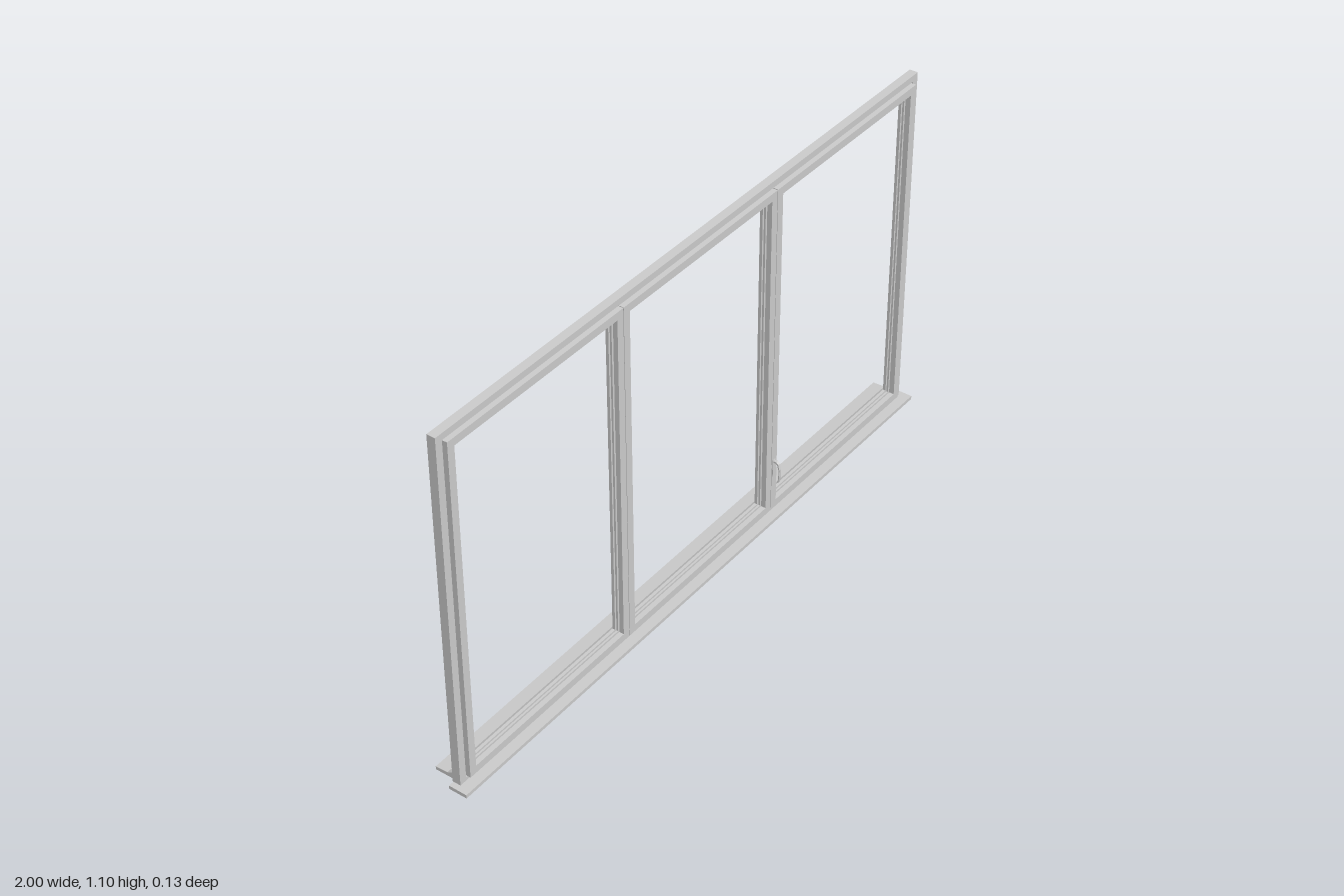
import * as THREE from 'three';

const material = new THREE.MeshStandardMaterial({ color: 0xcccccc });

function add(parent, name, geometry) {
  const mesh = new THREE.Mesh(geometry, material);
  mesh.name = name;
  parent.add(mesh);
  return mesh;
}

function box(parent, name, x0, x1, y0, y1, z0, z1) {
  const mesh = add(parent, name, new THREE.BoxGeometry(x1 - x0, y1 - y0, z1 - z0));
  mesh.position.set((x0 + x1) / 2, (y0 + y1) / 2, (z0 + z1) / 2);
}

const rectPoints = ([x0, x1, y0, y1]) => [[x0, y0], [x1, y0], [x1, y1], [x0, y1]].map(p => new THREE.Vector2(...p));

// Rectangular slab with rectangular openings, from z0 to z1
function slab(parent, name, outer, holes, z0, z1) {
  const shape = new THREE.Shape(rectPoints(outer));
  for (const hole of holes) shape.holes.push(new THREE.Path(rectPoints(hole).reverse()));
  const geometry = new THREE.ExtrudeGeometry(shape, { depth: z1 - z0, bevelEnabled: false });
  geometry.translate(0, 0, z0);
  add(parent, name, geometry);
}

// Extrudes a [z, y] section along x between x0 and x1
function alongX(parent, name, section, x0, x1) {
  const shape = new THREE.Shape(section.map(([z, y]) => new THREE.Vector2(-z, y)));
  const geometry = new THREE.ExtrudeGeometry(shape, { depth: x1 - x0, bevelEnabled: false });
  geometry.rotateY(Math.PI / 2);
  geometry.translate(x0, 0, 0);
  add(parent, name, geometry);
}

const inset = ([x0, x1, y0, y1], d) => [x0 + d, x1 - d, y0 + d, y1 - d];

export function createModel() {
  const model = new THREE.Group();
  model.name = 'window';

  const outer = [-0.983, 0.983, 0.0, 1.095];
  const sashes = [[-0.958, -0.32], [-0.318, 0.316], [0.318, 0.958]].map(([a, b]) => [a, b, 0.028, 1.073]);

  // Fixed frame: rear flange with three openings, then the wider rebate
  slab(model, 'frameRear', outer, sashes.map(s => inset(s, 0.023)), 0.0015, 0.01);
  slab(model, 'frameFront', outer, [[-0.961, 0.961, 0.026, 1.076]], 0.01, 0.0265);

  // Opening sashes with a glazing groove between their rear and front lips
  sashes.forEach((s, i) => {
    const sash = new THREE.Group();
    sash.name = ['rightSash', 'middleSash', 'leftSash'][i];
    slab(sash, 'sashRear', s, [inset(s, 0.018)], 0.0105, 0.016);
    slab(sash, 'glazingGroove', s, [inset(s, 0.012)], 0.016, 0.025);
    slab(sash, 'sashFront', s, [inset(s, 0.023)], 0.025, 0.0385);
    model.add(sash);
  });

  // Inner ledge and sloped outer sill
  box(model, 'innerLedge', -1, 1, 0.003, 0.014, 0.004, 0.0595);
  alongX(model, 'outerSill', [
    [0.002, 0.016], [0.002, 0.038], [-0.006, 0.034], [-0.02, 0.027], [-0.058, 0.025], [-0.058, 0.015],
  ], -0.977, 0.977);

  // Handle: mounting plate and a thin curved lever hanging down
  const handle = new THREE.Group();
  handle.name = 'handle';
  box(handle, 'handlePlate', 0.321, 0.332, 0.145, 0.2, 0.0385, 0.0405);
  alongX(handle, 'handleLever', [
    [0.038, 0.198], [0.05, 0.198], [0.057, 0.192], [0.061, 0.175], [0.061, 0.15], [0.058, 0.13],
    [0.056, 0.131], [0.058, 0.15], [0.058, 0.174], [0.054, 0.188], [0.049, 0.193], [0.038, 0.193],
  ], 0.322, 0.331);
  model.add(handle);

  // The whole window is turned very slightly
  model.rotation.y = -0.0066;
  const group = new THREE.Group();
  group.add(model);
  return group;
}
